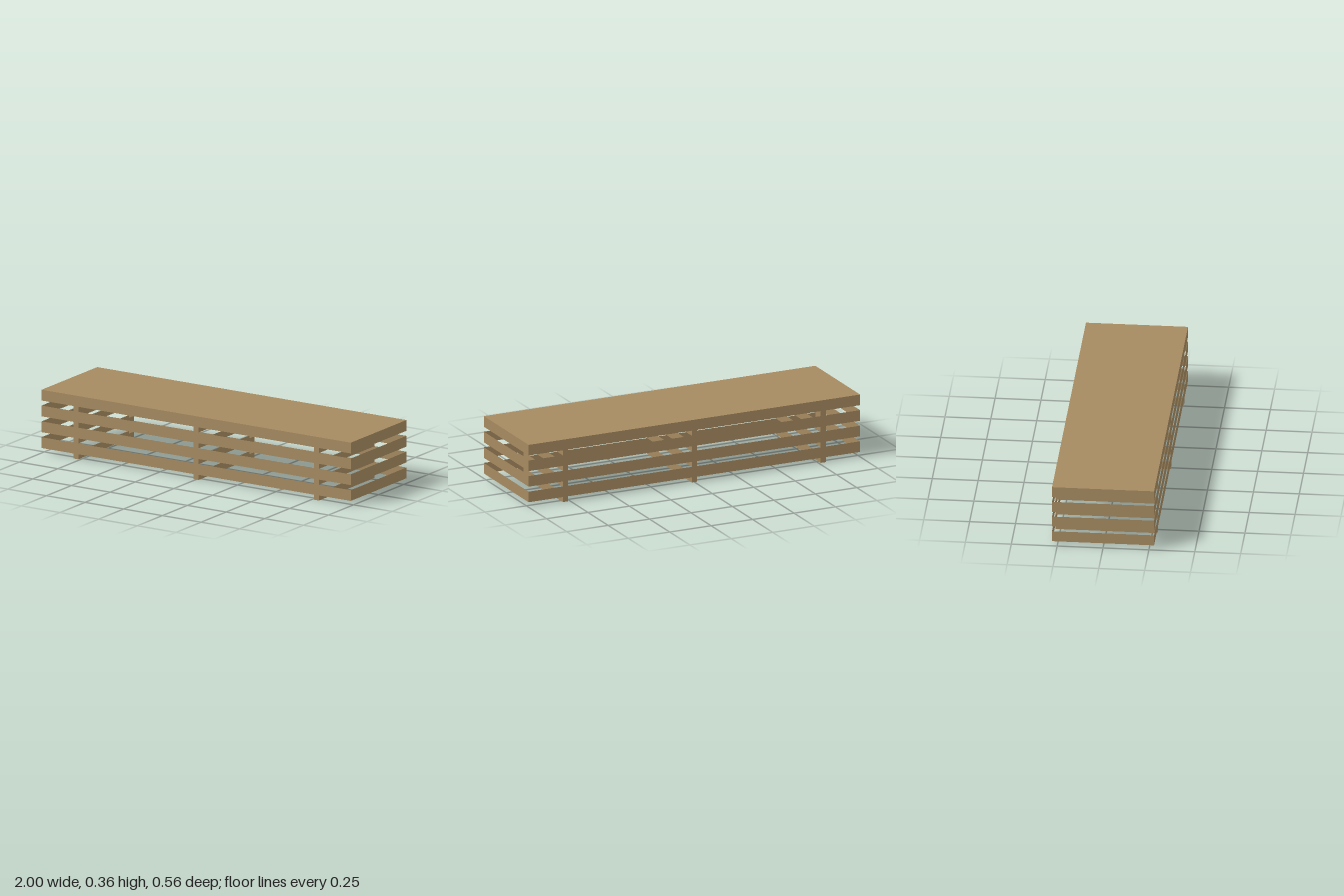
import * as THREE from 'three';

const LENGTH = 2, DEPTH = 0.556;
const STICKER_H = 0.0285, BOARD_H = 0.0605, STICKER_W = 0.032;
const LAYERS = 4;

// Box shell without a bottom, and without a top unless capped
function shell(w, h, d, capped) {
  const geometry = new THREE.BoxGeometry(w, h, d);
  const index = Array.from(geometry.index.array);
  const faces = capped ? [0, 1, 2, 4, 5] : [0, 1, 4, 5];
  geometry.setIndex(faces.flatMap(f => index.slice(f * 6, f * 6 + 6)));
  geometry.clearGroups();
  return geometry;
}

export function createModel() {
  const group = new THREE.Group();
  group.name = 'lumberStack';

  const wood = new THREE.MeshStandardMaterial({ color: 0xa68a60, side: THREE.DoubleSide });
  wood.name = 'wood';

  const add = (name, geometry, x, y) => {
    const mesh = new THREE.Mesh(geometry, wood);
    mesh.name = name;
    mesh.position.set(x, y, 0);
    group.add(mesh);
  };

  const stickerGeometry = shell(STICKER_W, STICKER_H, DEPTH, false);

  for (let i = 0; i < LAYERS; i++) {
    const y = i * (STICKER_H + BOARD_H);
    // Three spacers under each layer
    for (const x of [-0.778, 0, 0.778]) add('spacer', stickerGeometry, x, y + STICKER_H / 2);
    // Layer of boards; only the uppermost has a closed top
    const top = i === LAYERS - 1;
    add(top ? 'topBoards' : 'boardLayer', shell(LENGTH, BOARD_H, DEPTH, top), 0, y + STICKER_H + BOARD_H / 2);
  }
  return group;
}
